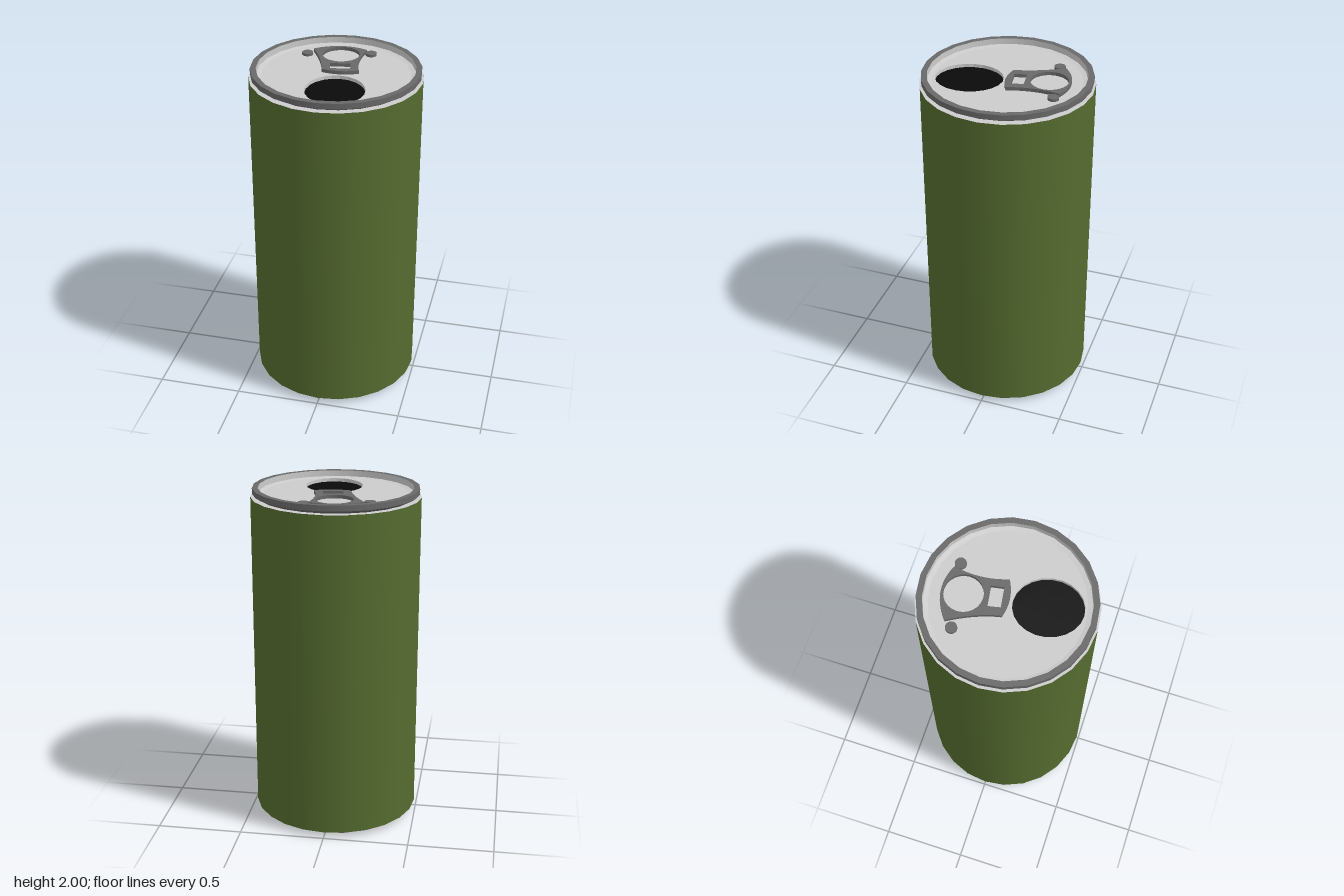
import * as THREE from 'three';
import { mergeGeometries } from 'three/addons/utils/BufferGeometryUtils.js';

const SIDES = 24;
const LID_Y = 1.96;
const material = (color) => new THREE.MeshStandardMaterial({ color });

// Turned part: each profile segment is its own strip, so edges between strips stay sharp
function turned(profile) {
  const strips = [];
  for (let i = 0; i < profile.length - 1; i++) {
    const pair = [profile[i], profile[i + 1]].map(([r, y]) => new THREE.Vector2(r, y));
    strips.push(new THREE.LatheGeometry(pair, SIDES));
  }
  return mergeGeometries(strips);
}

// Flat plate lying on y, from a shape drawn in (x, -z)
function plate(shape, y, thickness, curveSegments = 12) {
  const g = new THREE.ExtrudeGeometry(shape, { depth: thickness, bevelEnabled: false, curveSegments });
  return g.rotateX(-Math.PI / 2).translate(0, y, 0);
}

function polygon(radius) {
  const pts = [];
  for (let i = 0; i < SIDES; i++) {
    const a = (i / SIDES) * Math.PI * 2;
    pts.push(new THREE.Vector2(Math.cos(a) * radius, Math.sin(a) * radius));
  }
  return new THREE.Shape(pts);
}

export function createModel() {
  const can = new THREE.Group();
  can.name = 'drinkCan';
  const green = material(0x556b2f);
  const light = material(0xcccccc);
  const dark = material(0x696969);
  const black = material(0x0a0a0a);

  const add = (name, geometry, mat) => {
    const mesh = new THREE.Mesh(geometry, mat);
    mesh.name = name;
    can.add(mesh);
  };

  // Wall and base
  add('body', turned([[0.49, 0.035], [0.49, 1.95]]), green);
  add('baseDisc', turned([[0, 0.03], [0.395, 0.03]]), dark);
  add('baseRecessWall', turned([[0.395, 0.03], [0.395, 0]]), light);
  add('baseRim', turned([[0.395, 0], [0.43, 0], [0.43, 0.01], [0.49, 0.035]]), dark);

  // Shoulder, rim and the wall inside the rim
  add('shoulder', turned([[0.49, 1.95], [0.45, 1.95]]), light);
  add('topRim', turned([[0.45, 1.95], [0.48, 1.968], [0.48, 2], [0.447, 2]]), dark);
  add('rimInnerWall', turned([[0.447, 2], [0.447, LID_Y + 0.005], [0.42, LID_Y]]), light);

  // Lid with the drinking opening, and the dark interior below it
  const lid = polygon(0.42);
  const opening = new THREE.Path();
  opening.absellipse(0.042, -0.21, 0.167, 0.192, 0, Math.PI * 2, true, 0.2);
  lid.holes.push(opening);
  add('lid', plate(lid, LID_Y - 0.02, 0.02, 11), light);
  add('interior', turned([[0.42, LID_Y - 0.021], [0, LID_Y - 0.021]]), black);

  // Pull tab with finger hole and small window
  const tab = new THREE.Shape();
  tab.moveTo(-0.2, 0.28);
  tab.quadraticCurveTo(-0.11, 0.13, -0.087, 0.006);
  tab.quadraticCurveTo(0.03, -0.025, 0.123, 0.03);
  tab.quadraticCurveTo(0.07, 0.18, 0.105, 0.33);
  tab.quadraticCurveTo(-0.06, 0.4, -0.2, 0.28);
  const fingerHole = new THREE.Path();
  fingerHole.absarc(-0.026, 0.235, 0.107, 0, Math.PI * 2, true);
  const window = new THREE.Path([
    [-0.057, 0.095], [0.058, 0.112], [0.07, 0.042], [-0.043, 0.025],
  ].map(([x, y]) => new THREE.Vector2(x, y)));
  tab.holes.push(fingerHole, window);
  add('pullTab', plate(tab, LID_Y, 0.02), dark);

  // Raised studs beside the tab
  for (const [x, z] of [[-0.225, -0.235], [0.135, -0.305]]) {
    add('stud', new THREE.CylinderGeometry(0.032, 0.032, 0.015, SIDES).translate(x, LID_Y + 0.0075, z), dark);
  }
  return can;
}
